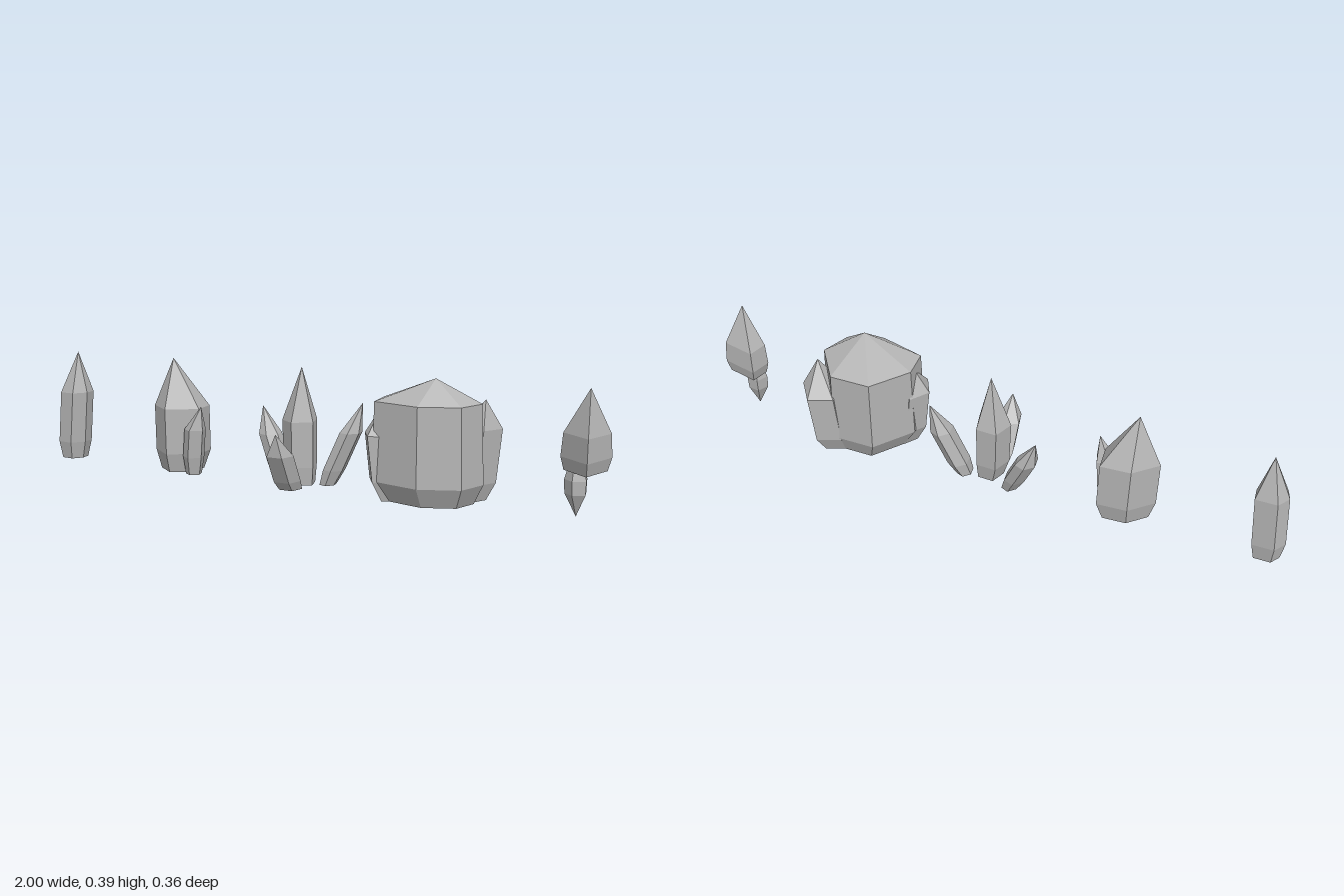
import * as THREE from 'three';

const stone = new THREE.MeshStandardMaterial({ color: 0xb4b4b4 });
stone.name = 'grey stone';

// Regular outline in the ground plane: sides, half width, half depth, turn.
function ngon(n, rx, rz, turn = 0) {
  return Array.from({ length: n }, (_, i) => {
    const a = turn + (i / n) * Math.PI * 2;
    return [Math.cos(a) * rx, Math.sin(a) * rz];
  });
}

// Faceted crystal. Each level is [y, centre x, centre z, scale of outline];
// the top and bottom rings close to the points tip and root.
function crystal(name, outline, levels, tip, root) {
  let area = 0;
  outline.forEach(([x, z], i) => {
    const [u, v] = outline[(i + 1) % outline.length];
    area += x * v - u * z;
  });
  const ring = area > 0 ? [...outline].reverse() : outline;
  const n = ring.length;
  const rows = levels.map(([y, cx, cz, s]) => ring.map(([x, z]) => [cx + x * s, y, cz + z * s]));
  const first = levels[0];
  const bottom = root || [first[1], first[0], first[2]];
  const pos = [];
  const tri = (a, b, c) => pos.push(...a, ...b, ...c);
  for (let i = 0; i < n; i++) {
    const j = (i + 1) % n;
    tri(bottom, rows[0][j], rows[0][i]);
    for (let k = 0; k + 1 < rows.length; k++) {
      tri(rows[k][i], rows[k][j], rows[k + 1][j]);
      tri(rows[k][i], rows[k + 1][j], rows[k + 1][i]);
    }
    const last = rows[rows.length - 1];
    tri(last[i], last[j], tip);
  }
  const geo = new THREE.BufferGeometry();
  geo.setAttribute('position', new THREE.Float32BufferAttribute(pos, 3));
  geo.computeVertexNormals();
  const mesh = new THREE.Mesh(geo, stone);
  mesh.name = name;
  return mesh;
}

function cluster(name, ...parts) {
  const g = new THREE.Group();
  g.name = name;
  g.add(...parts);
  return g;
}

export function createModel() {
  const model = new THREE.Group();
  model.name = 'crystalSet';

  // Slim single crystal
  model.add(cluster('slimCrystal',
    crystal('slimShard',
      [[-0.05, 0], [-0.025, -0.043], [0.045, -0.046], [0.052, 0], [0.022, 0.044], [-0.036, 0.037]],
      [[0, -0.95, 0, 0.78], [0.06, -0.95, 0, 1], [0.24, -0.937, -0.003, 1]], [-0.925, 0.385, -0.01])));

  // Broad crystal with a small companion
  model.add(cluster('pairedCrystals',
    crystal('broadShard',
      [[-0.09, 0.01], [-0.02, -0.065], [0.08, -0.075], [0.095, 0.015], [0, 0.08]],
      [[0, -0.49, -0.005, 0.78], [0.065, -0.49, -0.005, 1], [0.22, -0.493, -0.005, 1]], [-0.505, 0.388, 0]),
    crystal('companionShard', ngon(5, 0.038, 0.038, 0.3),
      [[0, -0.405, 0.035, 0.75], [0.06, -0.403, 0.037, 1], [0.155, -0.394, 0.04, 1]], [-0.366, 0.236, 0.045])));

  // Spreading cluster: one upright shard and three leaning outward
  model.add(cluster('spreadingCluster',
    crystal('uprightShard', ngon(5, 0.06, 0.063, Math.PI / 2),
      [[0, -0.008, -0.012, 0.75], [0.06, -0.015, -0.013, 0.95], [0.21, -0.018, -0.015, 1]], [-0.01, 0.387, -0.01]),
    crystal('rightLeaningShard', ngon(6, 0.037, 0.045, 0.3),
      [[0, -0.095, -0.045, 0.75], [0.05, -0.118, -0.052, 1], [0.145, -0.164, -0.072, 1]], [-0.2, 0.235, -0.085]),
    crystal('leftLeaningShard', ngon(6, 0.036, 0.045, 0.3),
      [[0, 0.072, -0.04, 0.75], [0.05, 0.09, -0.05, 1], [0.175, 0.141, -0.068, 1]], [0.175, 0.272, -0.085]),
    crystal('frontLeaningShard',
      [[-0.045, -0.02], [-0.03, 0.035], [0.025, 0.035], [0.038, -0.02], [0, -0.045]],
      [[0, -0.003, 0.078, 0.85], [0.03, -0.003, 0.1, 1], [0.12, -0.003, 0.147, 1]], [0, 0.195, 0.183])));

  // Large boulder crystal with two side growths
  model.add(cluster('largeCluster',
    crystal('largeShard',
      [[-0.165, 0], [-0.08, -0.13], [0.06, -0.135], [0.16, -0.01], [0.13, 0.09], [0.01, 0.14], [-0.15, 0.1]],
      [[0, 0.46, 0, 0.82], [0.063, 0.455, 0.003, 1.04], [0.312, 0.452, 0, 1]], [0.48, 0.388, 0.042]),
    crystal('backGrowth',
      [[0.005, -0.076], [0.07, 0.004], [0.035, 0.074], [-0.04, 0.07], [-0.07, -0.04]],
      [[0, 0.55, -0.078, 0.8], [0.055, 0.562, -0.094, 1], [0.225, 0.575, -0.104, 1.02]], [0.6, 0.317, -0.07]),
    crystal('frontGrowth', ngon(5, 0.058, 0.07, Math.PI),
      [[0, 0.34, 0.045, 0.75], [0.06, 0.323, 0.05, 1], [0.205, 0.308, 0.055, 1]], [0.302, 0.287, 0.05])));

  // Hanging crystal with a narrow root below
  model.add(cluster('hangingCrystal',
    crystal('upperShard',
      [[-0.055, -0.075], [0.072, -0.05], [0.035, 0.083], [-0.068, 0]],
      [[0.138, 0.928, 0, 0.85], [0.178, 0.928, 0.002, 1], [0.25, 0.93, 0.004, 0.93]], [0.945, 0.387, 0.01]),
    crystal('rootShard', ngon(5, 0.036, 0.037, 0.4),
      [[0.07, 0.91, -0.003, 0.95], [0.112, 0.91, -0.003, 1], [0.145, 0.91, -0.003, 0.75]],
      [0.91, 0.16, -0.003], [0.91, 0, -0.008])));

  return model;
}
